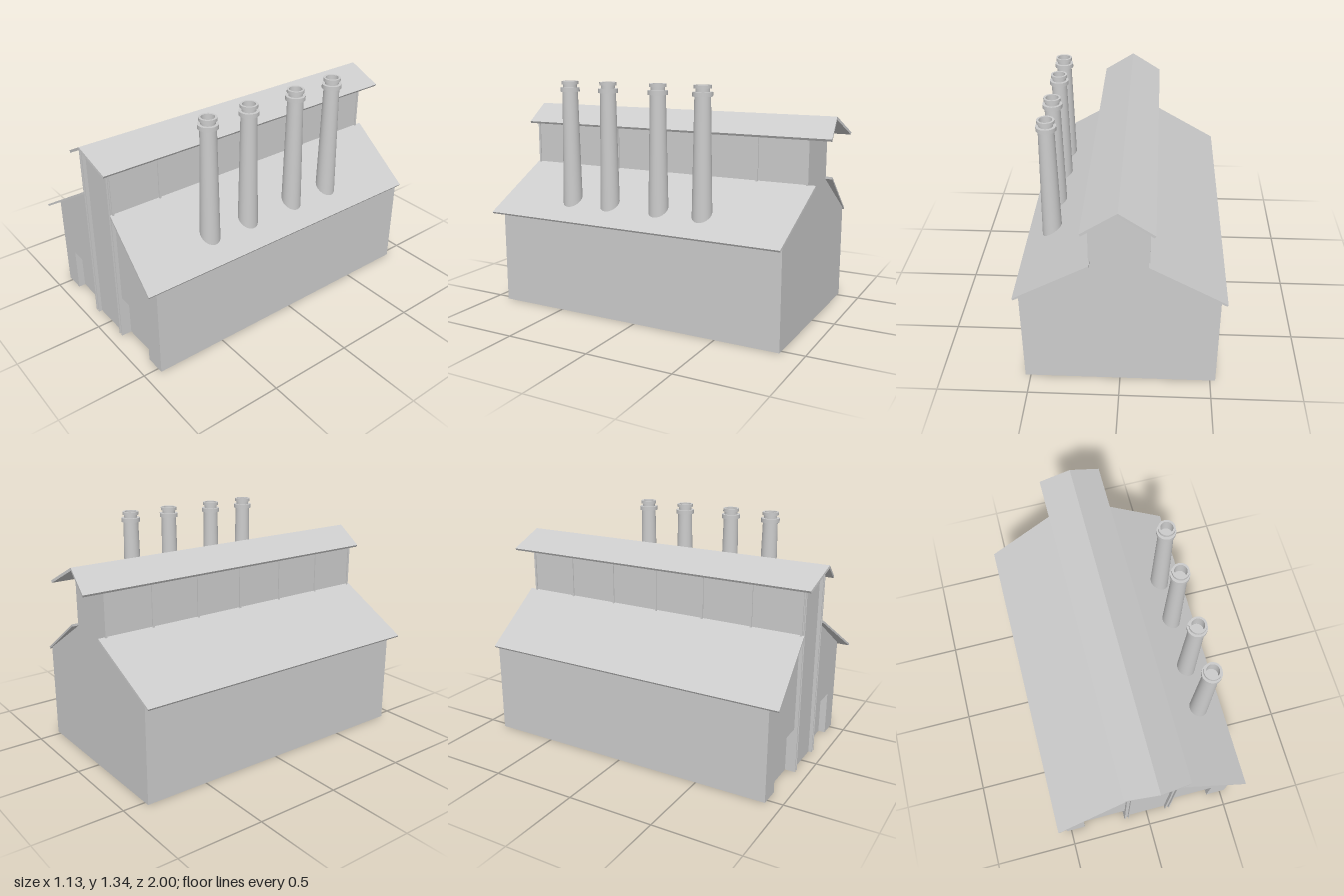
import * as THREE from 'three';

const grey = new THREE.MeshStandardMaterial({ color: 0xcccccc, side: THREE.DoubleSide });

const FRONT = 0.91, BACK = -0.87, WALL_X = 0.53, MONITOR_X = 0.15;
// Height of the lower roof's top surface
const roofY = (x) => 0.81 - (Math.abs(x) - 0.155) * 0.634;

function add(parent, name, geometry, x = 0, y = 0, z = 0) {
  const mesh = new THREE.Mesh(geometry, grey);
  mesh.name = name;
  mesh.position.set(x, y, z);
  parent.add(mesh);
  return mesh;
}

const shapeOf = (points) => new THREE.Shape(points.map(([x, y]) => new THREE.Vector2(x, y)));

// Box given by its lower and upper corners
function block(parent, name, [x0, y0, z0], [x1, y1, z1]) {
  return add(parent, name, new THREE.BoxGeometry(Math.abs(x1 - x0), y1 - y0, z1 - z0),
    (x0 + x1) / 2, (y0 + y1) / 2, (z0 + z1) / 2);
}

// Roof section run front to back, with ends skewed by a rule of |x|
function roof(parent, name, section, frontZ, backZ) {
  const geometry = new THREE.ExtrudeGeometry(shapeOf(section), { depth: 1, bevelEnabled: false });
  const p = geometry.attributes.position;
  for (let i = 0; i < p.count; i++) {
    const x = Math.abs(p.getX(i));
    p.setZ(i, p.getZ(i) > 0.5 ? frontZ(x) : backZ(x));
  }
  geometry.computeVertexNormals();
  add(parent, name, geometry);
}

function wall(parent, name, depth, height, x, y, z) {
  add(parent, name, new THREE.PlaneGeometry(depth, height), x, y, z).rotation.y = Math.sign(x) * Math.PI / 2;
}

function chimney(z) {
  const group = new THREE.Group();
  group.name = 'chimney';
  const baseY = 0.6, topY = 1.285;
  const shaft = new THREE.CylinderGeometry(0.044, 0.056, topY - baseY, 32, 1, true);
  // Cut the foot along the roof slope
  const p = shaft.attributes.position;
  for (let i = 0; i < p.count; i++) {
    if (p.getY(i) < 0) p.setY(i, roofY(0.41 + p.getX(i)) - 0.006 - (baseY + topY) / 2);
  }
  add(group, 'chimneyShaft', shaft, 0, (baseY + topY) / 2, 0);
  const cap = [[0.044, 1.283], [0.055, 1.283], [0.055, 1.307], [0.039, 1.307], [0.039, 1.325],
    [0.048, 1.325], [0.048, 1.343], [0.036, 1.343], [0.036, 1.27], [0, 1.27]];
  // Doubled corners keep the rims sharp
  const profile = cap.flatMap(([r, y]) => [new THREE.Vector2(r, y), new THREE.Vector2(r, y)]).slice(1, -1);
  for (let i = 0; i < profile.length; i += 2) {
    add(group, 'chimneyCap', new THREE.LatheGeometry([profile[i], profile[i + 1]], 32));
  }
  group.position.set(0.41, 0, z);
  return group;
}

export function createModel() {
  const model = new THREE.Group();
  model.name = 'factory';
  const eaveY = roofY(WALL_X) - 0.008, shoulderY = 0.805;
  const wallLength = FRONT - BACK, midZ = (FRONT + BACK) / 2;
  const gableTop = [[WALL_X, eaveY], [MONITOR_X, shoulderY], [MONITOR_X, 1.075], [0, 1.155],
    [-MONITOR_X, 1.075], [-MONITOR_X, shoulderY], [-WALL_X, eaveY]];

  // Gable walls, the front one notched for two doorways
  const doorIn = 0.15, doorOut = 0.41, doorTop = 0.26, doorZ = FRONT - 0.04;
  const frontOutline = [
    [-WALL_X, 0], [-doorOut, 0], [-doorOut, doorTop], [-doorIn, doorTop], [-doorIn, 0],
    [doorIn, 0], [doorIn, doorTop], [doorOut, doorTop], [doorOut, 0], [WALL_X, 0], ...gableTop];
  add(model, 'frontWall', new THREE.ShapeGeometry(shapeOf(frontOutline)), 0, 0, FRONT);
  const backWall = new THREE.ShapeGeometry(shapeOf([[-WALL_X, 0], [WALL_X, 0], ...gableTop]));
  add(model, 'backWall', backWall, 0, 0, BACK).rotation.y = Math.PI;

  for (const s of [1, -1]) {
    // Long walls
    wall(model, 'sideWall', wallLength, eaveY, s * WALL_X, eaveY / 2, midZ);
    wall(model, 'monitorWall', wallLength, 1.075 - shoulderY, s * MONITOR_X, (1.075 + shoulderY) / 2, midZ);

    // Recessed door with its reveals
    const doorMid = s * (doorIn + doorOut) / 2, revealZ = (FRONT + doorZ) / 2;
    add(model, 'door', new THREE.PlaneGeometry(doorOut - doorIn, doorTop), doorMid, doorTop / 2, doorZ);
    for (const x of [doorIn, doorOut]) wall(model, 'doorJamb', 0.04, doorTop, s * x, doorTop / 2, revealZ);
    const lintel = add(model, 'doorLintel', new THREE.PlaneGeometry(doorOut - doorIn, 0.04), doorMid, doorTop, revealZ);
    lintel.rotation.x = Math.PI / 2;

    // Front column: two flanges joined by a web
    const column = new THREE.Group();
    column.name = 'frontColumn';
    block(column, 'flange', [s * 0.12, 0, 0.9], [s * 0.127, 1.08, 0.93]);
    block(column, 'flange', [s * 0.143, 0, 0.9], [s * 0.15, 1.07, 0.93]);
    block(column, 'web', [s * 0.127, 0, 0.912], [s * 0.143, 1.075, 0.918]);
    model.add(column);

    // Posts between the monitor panels
    for (let i = 0; i < 7; i++) {
      const z = [0.918, 0.628, 0.328, 0.026, -0.274, -0.574, -0.864][i];
      block(model, 'monitorPost', [s * 0.145, shoulderY - 0.01, z - 0.006], [s * 0.157, 1.075, z + 0.006]);
    }

    // Lower roof
    const flare = (x) => (x - 0.155) * 0.095;
    const section = [[0.15, 0.812], [0.565, 0.552], [0.559, 0.542], [0.15, 0.798]];
    roof(model, 'lowerRoof', section.map(([x, y]) => [s * x, y]),
      (x) => 0.936 + flare(x), (x) => -0.91 + flare(x));
  }

  // Ridge roof over the monitor
  roof(model, 'ridgeRoof',
    [[0, 1.17], [-0.183, 1.068], [-0.176, 1.056], [0, 1.153], [0.176, 1.056], [0.183, 1.068]],
    (x) => 0.998 - x * 0.17, (x) => -0.968 - x * 0.17);

  for (const z of [0.485, 0.225, -0.095, -0.365]) model.add(chimney(z));
  return model;
}
